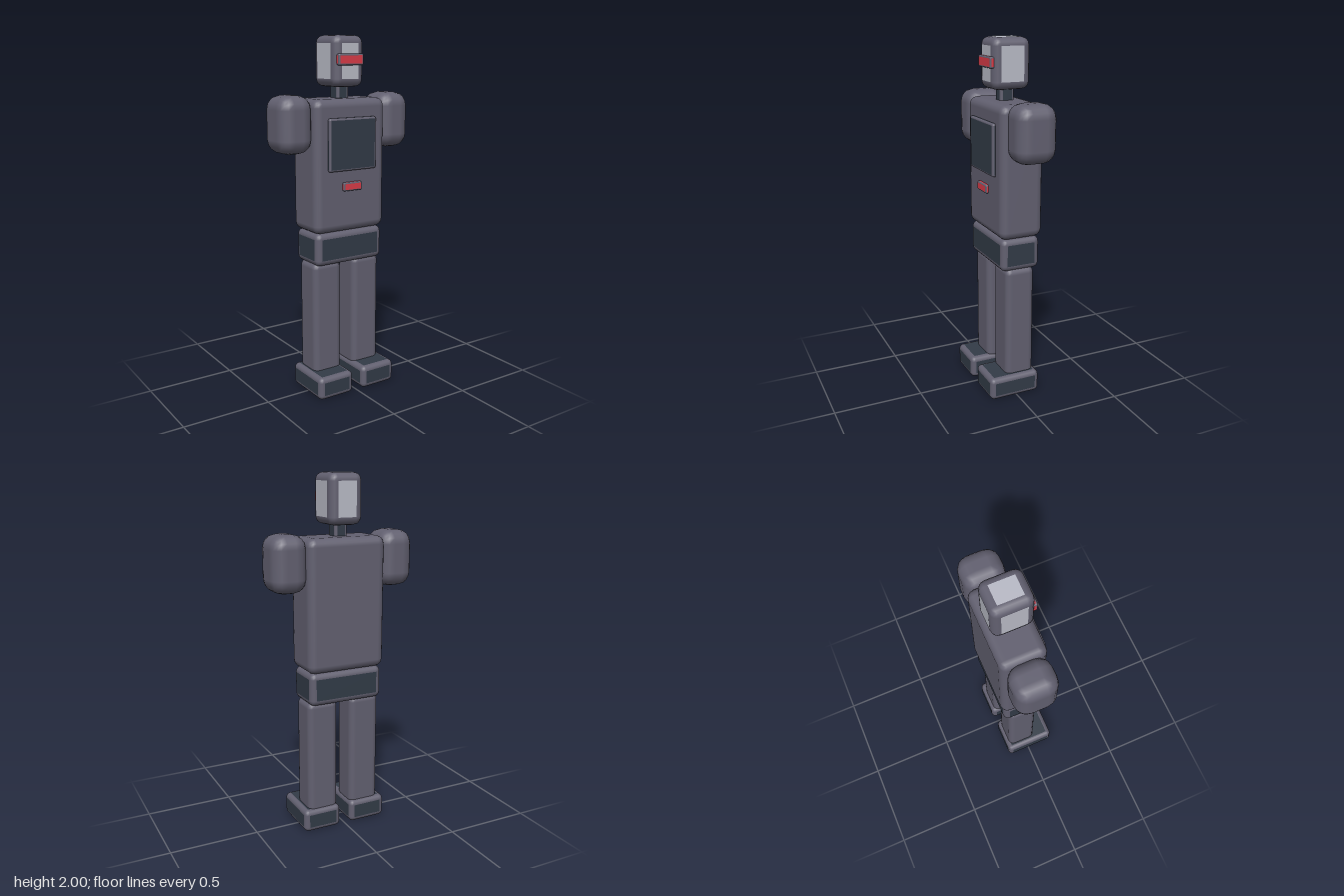
import * as THREE from 'three';
import { RoundedBoxGeometry } from 'three/addons/geometries/RoundedBoxGeometry.js';

function material(name, color) {
  const m = new THREE.MeshStandardMaterial({ color });
  m.name = name;
  return m;
}

// Rounded box whose flat faces (group 0) and rounded edges (group 1) can differ in colour
function panelBox(x, y, z, radius) {
  const geometry = new RoundedBoxGeometry(x[1] - x[0], y[1] - y[0], z[1] - z[0], 2, radius);
  const normal = geometry.attributes.normal;
  const isFlat = (i) =>
    Math.max(Math.abs(normal.getX(i)), Math.abs(normal.getY(i)), Math.abs(normal.getZ(i))) > 0.9999;
  const flat = [], edge = [];
  for (let i = 0; i < normal.count; i += 3) {
    const target = isFlat(i) && isFlat(i + 1) && isFlat(i + 2) ? flat : edge;
    target.push(i, i + 1, i + 2);
  }
  geometry.setIndex([...flat, ...edge]);
  geometry.clearGroups();
  geometry.addGroup(0, flat.length, 0);
  geometry.addGroup(flat.length, edge.length, 1);
  geometry.translate((x[0] + x[1]) / 2, (y[0] + y[1]) / 2, (z[0] + z[1]) / 2);
  return geometry;
}

export function createModel() {
  const body = material('body grey', 0x626070);
  const dark = material('dark slate', 0x323b47);
  const light = material('light grey', 0xb9bbc6);
  const red = material('signal red', 0xd93c48);

  const model = new THREE.Group();
  model.name = 'robot';

  // Ranges are [min, max] on each axis; edges are always body grey
  function add(name, face, x, y, z, radius) {
    const mesh = new THREE.Mesh(panelBox(x, y, z, radius), [face, body]);
    mesh.name = name;
    model.add(mesh);
  }

  // Head, visor and neck
  add('head', light, [-0.097, 0.097], [1.727, 2], [-0.145, 0.074], 0.043);
  add('visor', red, [-0.08, 0.08], [1.842, 1.903], [0.05, 0.088], 0.009);
  add('neck', dark, [-0.037, 0.037], [1.63, 1.76], [-0.073, 0.007], 0.014);

  // Torso with chest panel and button, then pelvis
  add('torso', body, [-0.23, 0.23], [0.936, 1.667], [-0.162, 0.09], 0.045);
  add('chestPanel', dark, [-0.153, 0.153], [1.28, 1.567], [0.07, 0.108], 0.011);
  add('chestButton', red, [-0.06, 0.06], [1.168, 1.216], [0.075, 0.107], 0.008);
  add('pelvis', dark, [-0.218, 0.218], [0.753, 0.938], [-0.148, 0.08], 0.032);

  // Mirrored limbs
  for (const [side, s] of [['left', 1], ['right', -1]]) {
    const span = (a, b) => (s > 0 ? [a, b] : [-b, -a]);
    add(side + 'UpperArm', body, span(0.218, 0.418), [1.38, 1.69], [-0.153, 0.078], 0.075);
    add(side + 'Leg', body, span(0.04, 0.22), [0.1, 0.765], [-0.118, 0.053], 0.035);
    add(side + 'Foot', dark, span(0.032, 0.255), [0, 0.13], [-0.138, 0.162], 0.027);
  }
  return model;
}
